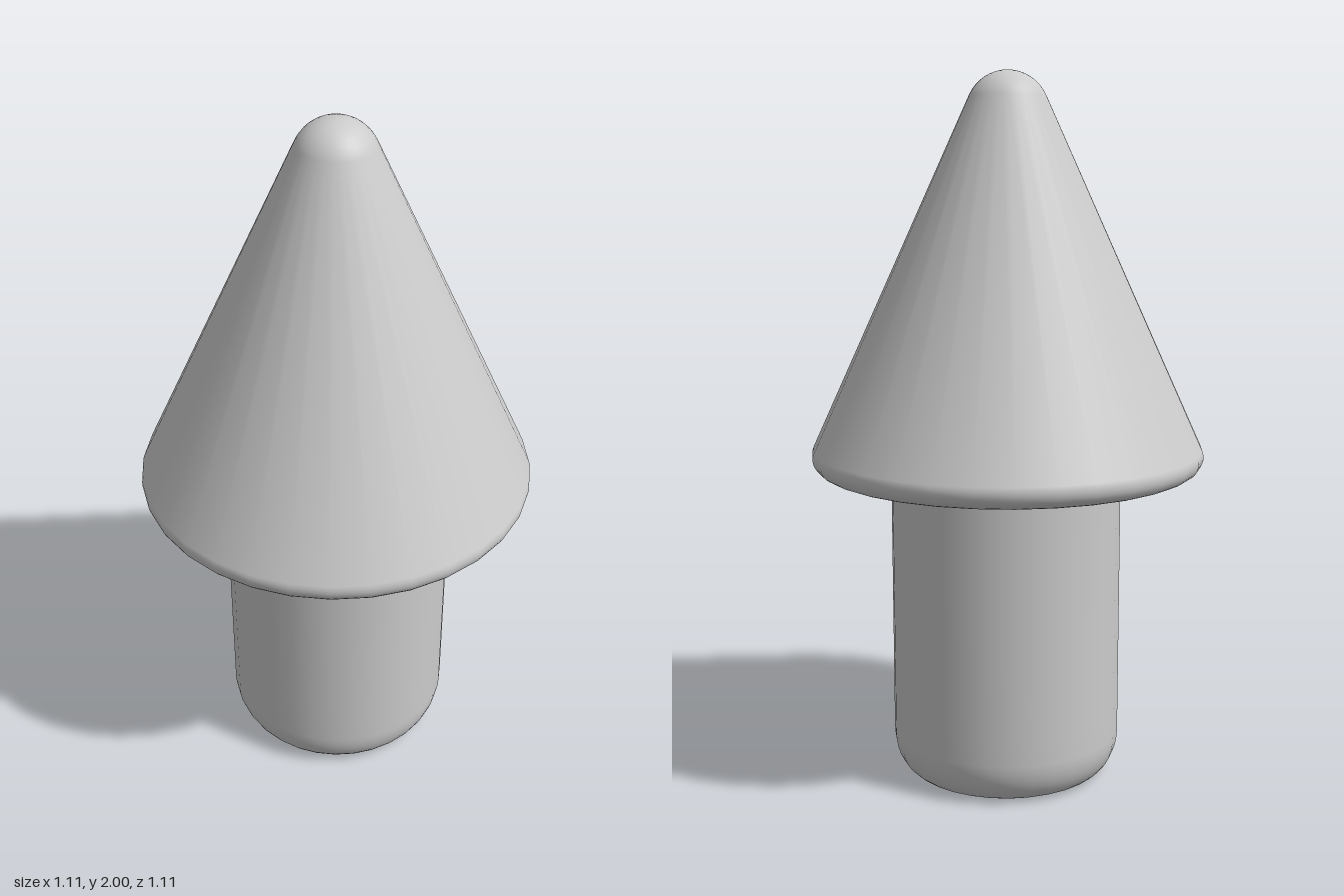
import * as THREE from 'three';

// Append an elliptical arc to a lathe profile; angles in degrees from the horizontal
function arc(points, cx, cy, rx, ry, from, to, steps) {
  for (let i = 0; i <= steps; i++) {
    const a = THREE.MathUtils.degToRad(from + ((to - from) * i) / steps);
    points.push(new THREE.Vector2(Math.max(0, cx + rx * Math.cos(a)), cy + ry * Math.sin(a)));
  }
}

function turned(name, points, material) {
  const mesh = new THREE.Mesh(new THREE.LatheGeometry(points, 32), material);
  mesh.name = name;
  return mesh;
}

export function createModel() {
  const model = new THREE.Group();
  model.name = 'coneTippedPeg';
  const grey = new THREE.MeshStandardMaterial({ color: 0xcccccc });

  // Cone head: flat underside, rounded rim, straight flank, small domed tip
  const slope = 24.6;
  const head = [new THREE.Vector2(0, 0.89), new THREE.Vector2(0.33, 0.89), new THREE.Vector2(0.5, 0.89)];
  arc(head, 0.512, 0.935, 0.045, 0.045, -90, slope, 8);
  arc(head, 0, 1.883, 0.117, 0.117, slope, 90, 8);
  model.add(turned('coneHead', head, grey));

  // Round stem with a softened foot, running up to the head
  const stem = [new THREE.Vector2(0, 0), new THREE.Vector2(0.24, 0)];
  arc(stem, 0.253, 0.12, 0.075, 0.12, -90, 0, 8);
  stem.push(new THREE.Vector2(0.328, 0.2), new THREE.Vector2(0.328, 0.89));
  const shaft = turned('stem', stem, grey);
  shaft.position.z = -0.012;
  model.add(shaft);

  return model;
}
